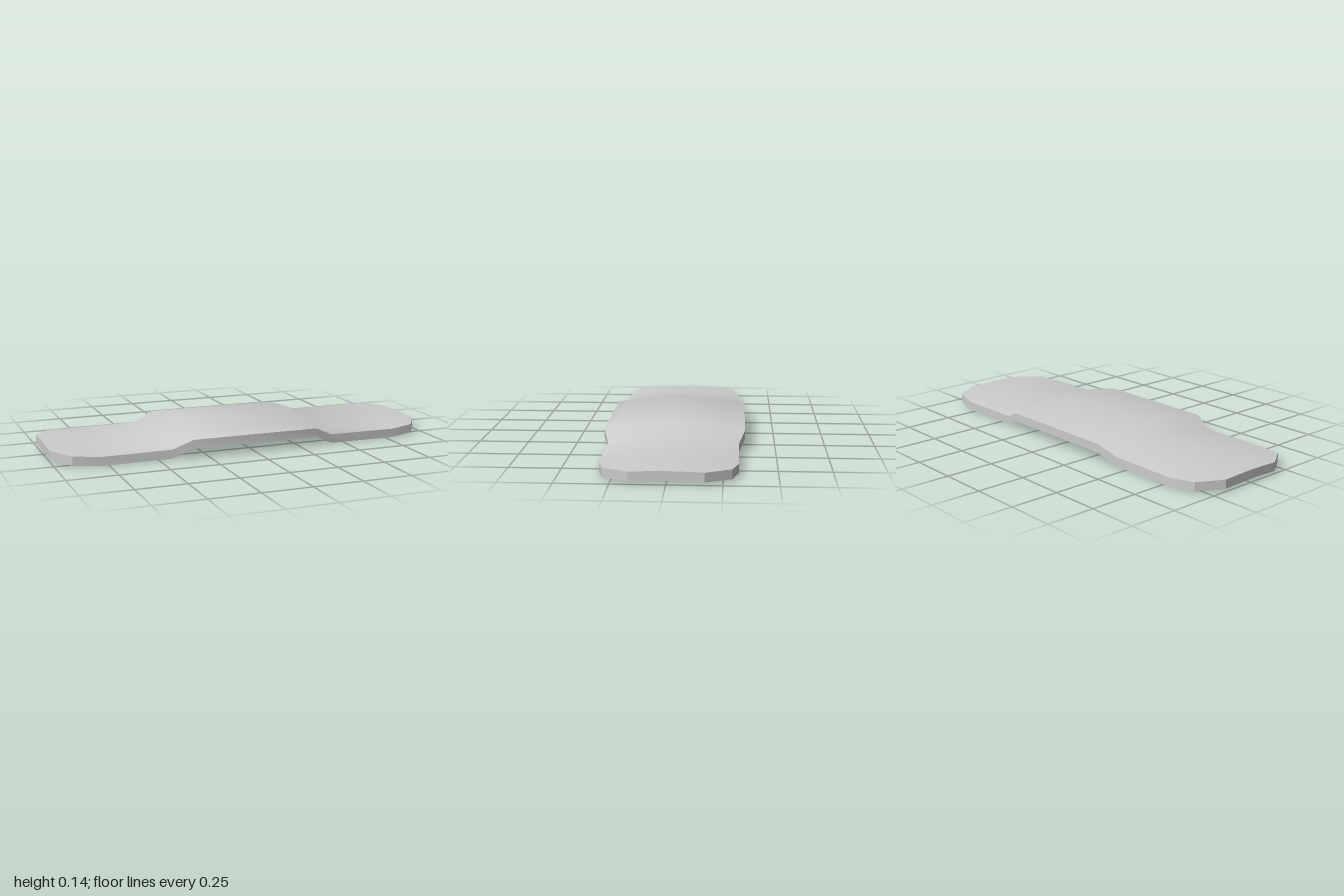
import * as THREE from 'three';
import { toCreasedNormals } from 'three/addons/utils/BufferGeometryUtils.js';

const THICKNESS = 0.045;

// Half of the plate: x, half width, top height on the centre line, top height at the edge
const HALF = [
  [0.33, 0.35, 0.14, 0.098],
  [0.43, 0.32, 0.095, 0.051],
  [0.79, 0.32, 0.078, 0.049],
  [0.92, 0.29, 0.071, 0.057],
  [1.0, 0.17, 0.067, 0.062],
];

// Crown across the width: fraction of half width, fraction of the drop to the edge
const CROWN = [[-1, 1], [-0.8, 0.69], [-0.49, 0.31], [0, 0], [0.49, 0.31], [0.8, 0.69], [1, 1]];

// Closed cross-section: crowned top from back to front, then the parallel underside back again
function section([x, halfWidth, mid, edge]) {
  const top = CROWN.map(([f, drop]) => [x, mid - (mid - edge) * drop, halfWidth * f]);
  const bottom = top.map(([px, y, z]) => [px, y - THICKNESS, z]).reverse();
  return [...top, ...bottom];
}

function plateGeometry() {
  const mirrored = HALF.map(([x, ...rest]) => [-x, ...rest]).reverse();
  const rings = [...mirrored, ...HALF].map(section);
  const n = rings[0].length;
  const last = rings.length - 1;
  const index = [];
  const quad = (a, b, c, d) => index.push(a, b, c, a, c, d);

  // Skin between neighbouring sections
  for (let i = 0; i < last; i++) {
    for (let j = 0; j < n; j++) {
      const k = (j + 1) % n;
      quad(i * n + j, i * n + k, (i + 1) * n + k, (i + 1) * n + j);
    }
  }
  // End faces
  for (let j = 0; j < CROWN.length - 1; j++) {
    const e = last * n;
    quad(e + j, e + j + 1, e + n - 2 - j, e + n - 1 - j);
    quad(n - 1 - j, n - 2 - j, j + 1, j);
  }

  const geometry = new THREE.BufferGeometry();
  geometry.setAttribute('position', new THREE.Float32BufferAttribute(rings.flat(2), 3));
  geometry.setIndex(index);
  return toCreasedNormals(geometry, 0.5);
}

export function createModel() {
  const group = new THREE.Group();
  group.name = 'curvedPlate';
  const plate = new THREE.Mesh(plateGeometry(), new THREE.MeshStandardMaterial({ color: 0xcccccc }));
  plate.name = 'plate';
  group.add(plate);
  return group;
}
